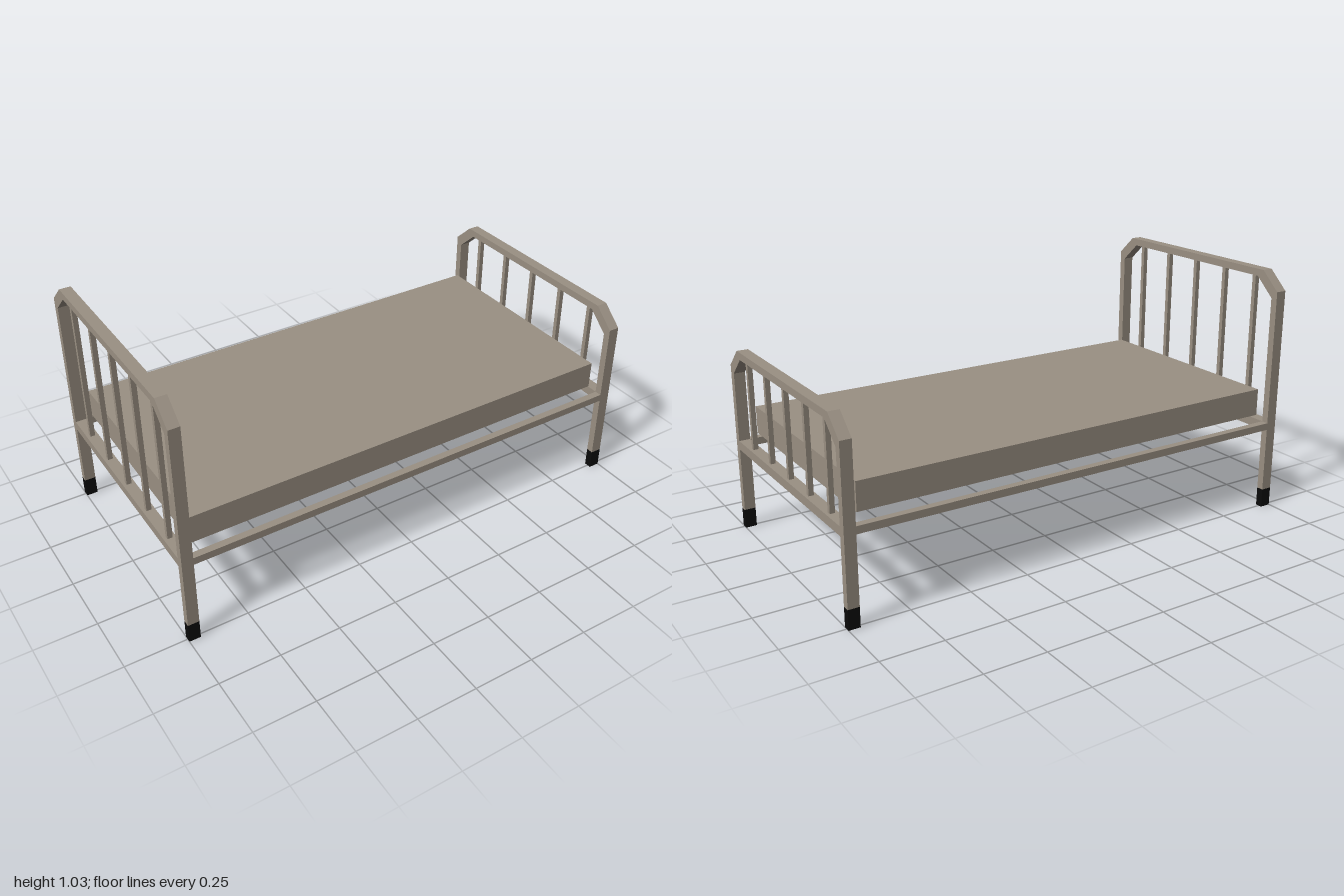
import * as THREE from 'three';

const HALF_W = 0.515;   // outer half width of the end frames
const TUBE = 0.03;      // tube thickness across the bed
const DEPTH = 0.046;    // tube thickness along the bed
const FOOT_H = 0.08;
const RAIL_TOP = 0.384;

export function createModel() {
  const bedPaint = new THREE.MeshStandardMaterial({ color: 0x9a9083 });
  bedPaint.name = 'warm grey';
  const rubber = new THREE.MeshStandardMaterial({ color: 0x0a0a0a });
  rubber.name = 'black rubber';

  const model = new THREE.Group();
  model.name = 'bed';

  function box(parent, name, material, size, position) {
    const mesh = new THREE.Mesh(new THREE.BoxGeometry(...size), material);
    mesh.name = name;
    mesh.position.set(...position);
    parent.add(mesh);
    return mesh;
  }

  // One end of the bed: bent tube, cross rail, slats and feet
  function endFrame(name, x, top) {
    const end = new THREE.Group();
    end.name = name;
    end.position.x = x;

    // Half outline of the bent tube, mirrored to close the arch
    const outer = [[HALF_W, FOOT_H], [HALF_W, top - 0.077], [0.43, top]];
    const inner = [[0.4, top - TUBE], [HALF_W - TUBE, top - 0.107], [HALF_W - TUBE, FOOT_H]];
    const mirror = (pts) => pts.map(([z, y]) => [-z, y]).reverse();
    const outline = [...outer, ...mirror(outer), ...mirror(inner), ...inner];
    const shape = new THREE.Shape(outline.map(([z, y]) => new THREE.Vector2(z, y)));
    const geometry = new THREE.ExtrudeGeometry(shape, { depth: DEPTH, bevelEnabled: false });
    geometry.translate(0, 0, -DEPTH / 2).rotateY(-Math.PI / 2);
    const tube = new THREE.Mesh(geometry, bedPaint);
    tube.name = 'bentTube';
    end.add(tube);

    box(end, 'crossRail', bedPaint, [DEPTH, 0.037, 2 * (HALF_W - TUBE)], [0, RAIL_TOP - 0.0185, 0]);

    const slatH = top - TUBE - RAIL_TOP;
    for (let i = -2; i <= 2; i++) {
      box(end, 'slat', bedPaint, [0.02, slatH, 0.018], [0, RAIL_TOP + slatH / 2, i * 0.183]);
    }
    for (const side of [-1, 1]) {
      box(end, 'foot', rubber, [DEPTH, FOOT_H, TUBE], [0, FOOT_H / 2, side * (HALF_W - TUBE / 2)]);
    }
    model.add(end);
  }

  const endX = 1 - DEPTH / 2;
  endFrame('headboard', -endX, 1.027);
  endFrame('footboard', endX, 0.777);

  // Long rails joining the two ends
  for (const side of [-1, 1]) {
    box(model, 'sideRail', bedPaint, [2 - 2 * DEPTH, TUBE, TUBE],
      [0, RAIL_TOP - TUBE / 2, side * (HALF_W - TUBE / 2)]);
  }

  box(model, 'mattress', bedPaint, [1.862, 0.114, 0.932], [-0.004, 0.468, 0]);

  return model;
}
